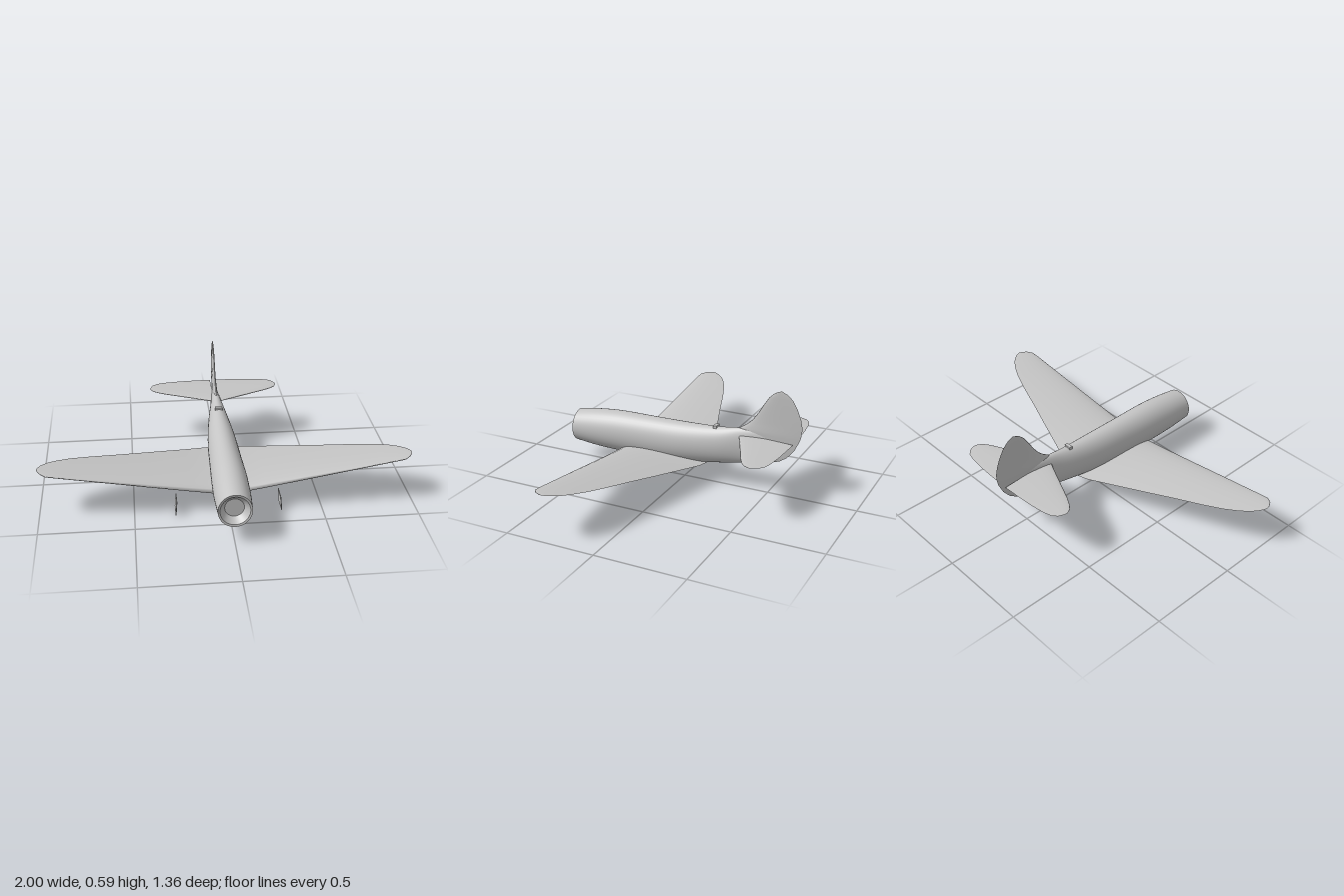
import * as THREE from 'three';

const paint = new THREE.MeshStandardMaterial({ color: 0xc4c4c4, side: THREE.DoubleSide });
paint.name = 'light grey paint';

function addMesh(group, name, geometry) {
  const mesh = new THREE.Mesh(geometry, paint);
  mesh.name = name;
  group.add(mesh);
  return mesh;
}

// Skin a list of equal-length rings of [x, y, z]; closed rings wrap smoothly.
function loft(rings, closed) {
  const n = rings[0].length;
  const index = [];
  for (let r = 0; r < rings.length - 1; r++) {
    for (let i = 0; i < (closed ? n : n - 1); i++) {
      const j = (i + 1) % n;
      const a = r * n + i, b = r * n + j, c = a + n, d = b + n;
      index.push(a, b, c, b, d, c);
    }
  }
  const geometry = new THREE.BufferGeometry();
  geometry.setAttribute('position', new THREE.Float32BufferAttribute(rings.flat(2), 3));
  geometry.setIndex(index);
  geometry.computeVertexNormals();
  return geometry;
}

// Oval ring across the fuselage
function oval(z, bottom, top, halfWidth, n = 40) {
  return Array.from({ length: n }, (_, i) => {
    const a = (i / n) * Math.PI * 2;
    return [halfWidth * Math.cos(a), (top + bottom) / 2 + ((top - bottom) / 2) * Math.sin(a), z];
  });
}

// Smoothly interpolate rows of numbers
function refine(rows, steps) {
  const out = [];
  for (let k = 0; k < rows.length - 1; k++) {
    const p = rows[Math.max(k - 1, 0)], a = rows[k], b = rows[k + 1];
    const q = rows[Math.min(k + 2, rows.length - 1)];
    for (let s = 0; s < steps; s++) {
      const t = s / steps;
      out.push(a.map((v, i) => THREE.MathUtils.clamp(
        0.5 * (2 * v + (b[i] - p[i]) * t + (2 * p[i] - 5 * v + 4 * b[i] - q[i]) * t * t
          + (3 * v - p[i] - 3 * b[i] + q[i]) * t * t * t),
        Math.min(v, b[i]) - 0.01, Math.max(v, b[i]) + 0.01)));
    }
  }
  out.push(rows[rows.length - 1]);
  return out;
}

// Aerofoil half thickness, u from 0 at the leading edge to 1 at the trailing edge
const foil = (u) => 5 * (0.2969 * Math.sqrt(u) - 0.126 * u - 0.3516 * u * u
  + 0.2843 * u ** 3 - 0.1036 * u ** 4);

// Aerofoil surface from stations [span, leadingZ, trailingZ, offset, thickness]
function panel(stations, place) {
  const half = 12;
  return loft(stations.map(([span, lead, trail, offset, thick]) =>
    Array.from({ length: half * 2 + 1 }, (_, i) => {
      const u = (1 + Math.cos((i / half) * Math.PI)) / 2;
      const side = i <= half ? 1 : -1;
      return place(span, offset + side * thick * foil(u), lead + (trail - lead) * u);
    })), false);
}
const flat = (span, t, z) => [span, t, z];
const upright = (span, t, z) => [-t, span, z];
const mirrored = (rows) => rows.map(([x, ...rest]) => [-x, ...rest]).reverse();

export function createModel() {
  const plane = new THREE.Group();
  plane.name = 'propellerless fighter plane';

  // Fuselage, tail to nose: z, bottom, top, half width
  const body = refine([
    [-0.56, 0.195, 0.325, 0.005],
    [-0.45, 0.168, 0.35, 0.02],
    [-0.34, 0.147, 0.35, 0.036],
    [-0.2, 0.122, 0.332, 0.059],
    [0, 0.094, 0.323, 0.079],
    [0.2, 0.08, 0.32, 0.087],
    [0.4, 0.081, 0.318, 0.094],
    [0.55, 0.087, 0.305, 0.094],
    [0.68, 0.1, 0.285, 0.088],
  ], 5);
  addMesh(plane, 'fuselage', loft(body.map((r) => oval(...r)), true));

  // Recessed nose opening and its central disc
  addMesh(plane, 'cowlLip', loft([
    oval(0.68, 0.1, 0.285, 0.088), oval(0.678, 0.112, 0.273, 0.077)], true));
  addMesh(plane, 'intakeRing', loft([
    oval(0.678, 0.112, 0.273, 0.077), oval(0.64, 0.14, 0.24, 0.05)], true));
  const disc = addMesh(plane, 'noseDisc', new THREE.CircleGeometry(0.05, 40));
  disc.position.set(0, 0.19, 0.641);

  // Wing with dihedral and rounded tips
  const wing = [
    [0.08, 0.365, -0.13, 0.118, 0.072],
    [0.2, 0.363, -0.088, 0.135, 0.062],
    [0.41, 0.36, -0.016, 0.167, 0.048],
    [0.57, 0.358, 0.04, 0.192, 0.037],
    [0.72, 0.356, 0.089, 0.215, 0.027],
    [0.83, 0.354, 0.13, 0.232, 0.02],
    [0.9, 0.353, 0.166, 0.243, 0.016],
    [0.95, 0.35, 0.2, 0.25, 0.012],
    [0.98, 0.326, 0.234, 0.255, 0.008],
    [0.995, 0.3, 0.26, 0.257, 0.004],
    [1, 0.282, 0.278, 0.258, 0.001],
  ];
  addMesh(plane, 'wing', panel(
    [...mirrored(wing), [0, 0.365, -0.15, 0.115, 0.072], ...wing], flat));

  // Tailplane halves, separated by the rudder gap
  const tail = [
    [0.012, -0.328, -0.637, 0.309, 0.016],
    [0.1, -0.37, -0.634, 0.309, 0.015],
    [0.2, -0.415, -0.629, 0.309, 0.013],
    [0.29, -0.456, -0.618, 0.309, 0.011],
    [0.335, -0.481, -0.605, 0.309, 0.009],
    [0.362, -0.503, -0.583, 0.309, 0.006],
    [0.376, -0.53, -0.55, 0.309, 0.002],
  ];
  addMesh(plane, 'leftTailplane', panel(tail, flat));
  addMesh(plane, 'rightTailplane', panel(mirrored(tail), flat));

  // Fin and rudder, bottom to top
  addMesh(plane, 'finAndRudder', panel([
    [0.195, -0.5, -0.56, 0, 0.008],
    [0.225, -0.46, -0.603, 0, 0.012],
    [0.275, -0.4, -0.643, 0, 0.016],
    [0.335, -0.31, -0.671, 0, 0.026],
    [0.355, -0.335, -0.676, 0, 0.024],
    [0.38, -0.37, -0.68, 0, 0.019],
    [0.407, -0.4, -0.681, 0, 0.016],
    [0.45, -0.431, -0.672, 0, 0.014],
    [0.5, -0.46, -0.653, 0, 0.012],
    [0.55, -0.492, -0.625, 0, 0.01],
    [0.578, -0.522, -0.595, 0, 0.007],
    [0.593, -0.556, -0.562, 0, 0.002],
  ], upright));
  const hinge = addMesh(plane, 'rudderHinge', new THREE.BoxGeometry(0.009, 0.14, 0.004));
  hinge.position.set(0, 0.475, -0.558);

  // Small fitting on the spine
  const fitting = addMesh(plane, 'spineFitting', new THREE.BoxGeometry(0.04, 0.018, 0.02));
  fitting.position.set(0, 0.332, -0.19);

  // Wheel doors hanging below the wing
  for (const side of [1, -1]) {
    const door = addMesh(plane, side > 0 ? 'leftWheelDoor' : 'rightWheelDoor',
      new THREE.BoxGeometry(0.004, 0.08, 0.095));
    door.position.set(side * 0.279, 0.04, 0.342);
    door.rotation.z = side * 0.08;
  }
  return plane;
}
